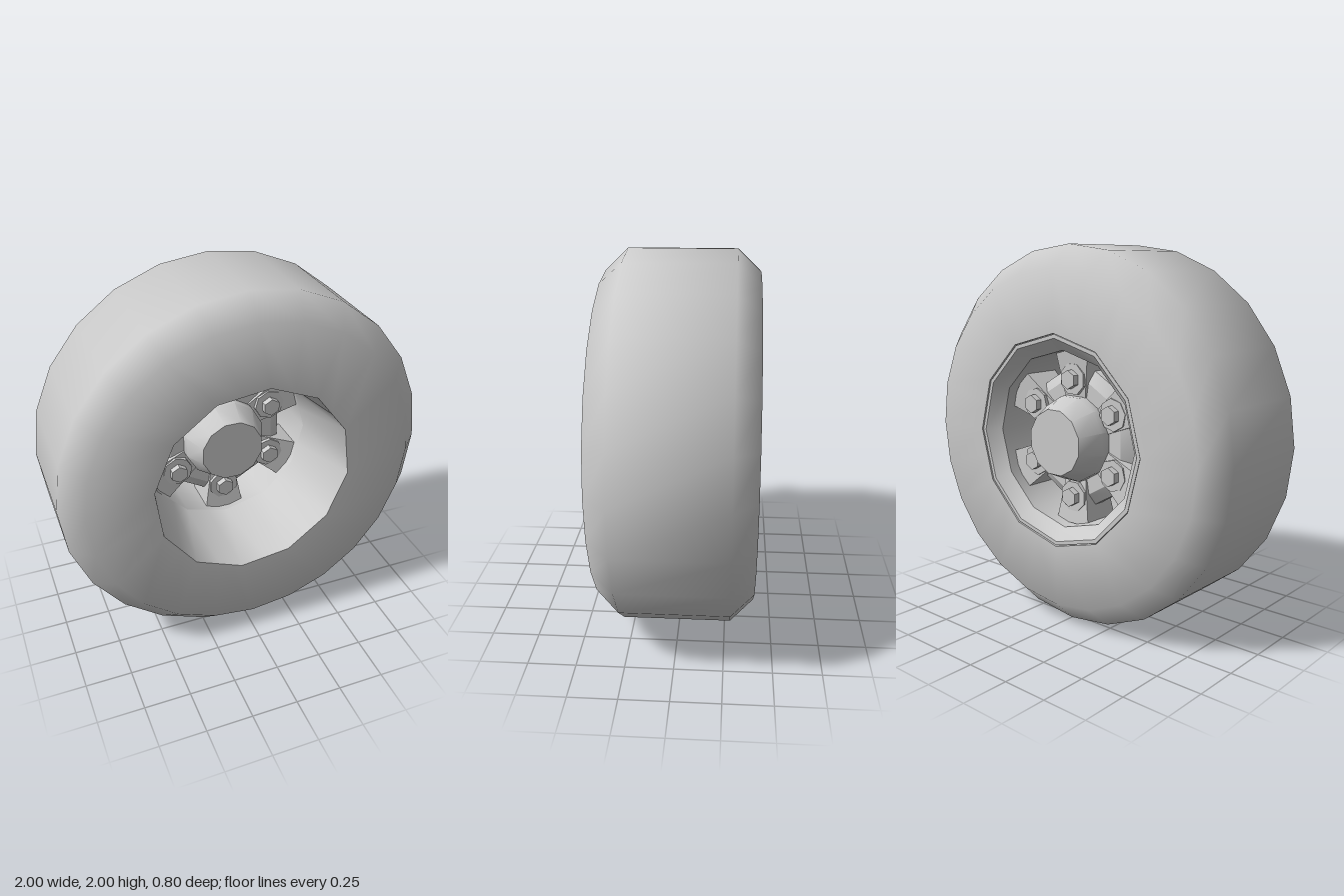
import * as THREE from 'three';
import { toCreasedNormals } from 'three/addons/utils/BufferGeometryUtils.js';

const MID = -0.16; // depth of the spoke plane
const material = new THREE.MeshStandardMaterial({ color: 0xcccccc });

function add(parent, name, geometry) {
  const mesh = new THREE.Mesh(geometry, material);
  mesh.name = name;
  parent.add(mesh);
  return mesh;
}

// Skins rings [radius, z, sides, turn in degrees] around the z axis, n points each.
// Every second point of a ring with n / 2 sides lies halfway along its edge.
function loft(rings, n, crease) {
  const pos = [], index = [];
  rings.forEach(([r, z, sides = n, turn = 0], j) => {
    for (let i = 0; i < n; i++) {
      const a = (i / n) * Math.PI * 2 + THREE.MathUtils.degToRad(turn);
      const rr = sides < n && i % 2 ? r * Math.cos(Math.PI / sides) : r;
      pos.push(rr * Math.cos(a), rr * Math.sin(a), z);
      if (j === rings.length - 1) continue;
      const p = j * n + i, q = j * n + ((i + 1) % n);
      index.push(p, q, p + n, q, q + n, p + n);
    }
  });
  const g = new THREE.BufferGeometry();
  g.setAttribute('position', new THREE.Float32BufferAttribute(pos, 3));
  g.setIndex(index);
  return toCreasedNormals(g, crease);
}

// Prism standing along z
function prism(r, depth, sides, turn) {
  const g = new THREE.CylinderGeometry(r, r, depth, sides).toNonIndexed();
  g.rotateX(Math.PI / 2);
  g.rotateZ(turn);
  g.computeVertexNormals();
  return g;
}

// Tapered block from hub to rim, pointing along +y
function spokeGeometry() {
  const g = new THREE.BoxGeometry(1, 1, 1).toNonIndexed();
  const p = g.attributes.position;
  for (let i = 0; i < p.count; i++) {
    const outer = p.getY(i) > 0;
    p.setXYZ(i,
      p.getX(i) * (outer ? 0.225 : 0.14),
      outer ? 0.462 : 0.22,
      p.getZ(i) * (outer ? 0.22 : 0.16));
  }
  g.computeVertexNormals();
  return g;
}

export function createModel() {
  const model = new THREE.Group();
  model.name = 'wheel';
  const wheel = new THREE.Group();
  wheel.name = 'wheelAssembly';
  wheel.position.y = 1;
  model.add(wheel);

  // Tyre with bevelled shoulders and a twelve-sided tapering bore
  add(wheel, 'tyre', loft([
    [0.56, -0.37, 12], [0.56, -0.4, 12],
    [0.885, -0.4], [1, -0.28], [1, 0.28], [0.885, 0.4],
    [0.54, 0.4, 12, -7.5], [0.47, -0.02, 12],
  ], 24, 1.05));

  // Rim barrel and rear lip
  add(wheel, 'rim', loft([
    [0.47, -0.02], [0.47, -0.33], [0.535, -0.395], [0.555, -0.395], [0.56, -0.37],
  ], 12, 0.6));

  // Hub with a tapered cap and flange on both sides
  const half = [[0, 0.242], [0.175, 0.242], [0.23, 0.12], [0.23, 0.07], [0.31, 0.07], [0.37, 0.03]];
  const hubRings = [
    ...half.map(([r, d]) => [r, MID - d, 12, 15]),
    ...half.slice().reverse().map(([r, d]) => [r, MID + d, 12, 15]),
  ];
  add(wheel, 'hub', loft(hubRings, 12, 0.6));

  // Six spokes, each with a boss and a through bolt
  const spoke = spokeGeometry();
  const boss = prism(0.085, 0.21, 8, Math.PI / 8);
  const bolt = prism(0.05, 0.28, 6, 0);
  for (let i = 0; i < 6; i++) {
    const arm = new THREE.Group();
    arm.name = 'spokeArm';
    arm.position.z = MID;
    arm.rotation.z = (i * Math.PI) / 3;
    wheel.add(arm);
    add(arm, 'spoke', spoke);
    add(arm, 'boltBoss', boss).position.y = 0.315;
    add(arm, 'bolt', bolt).position.y = 0.315;
  }
  return model;
}
